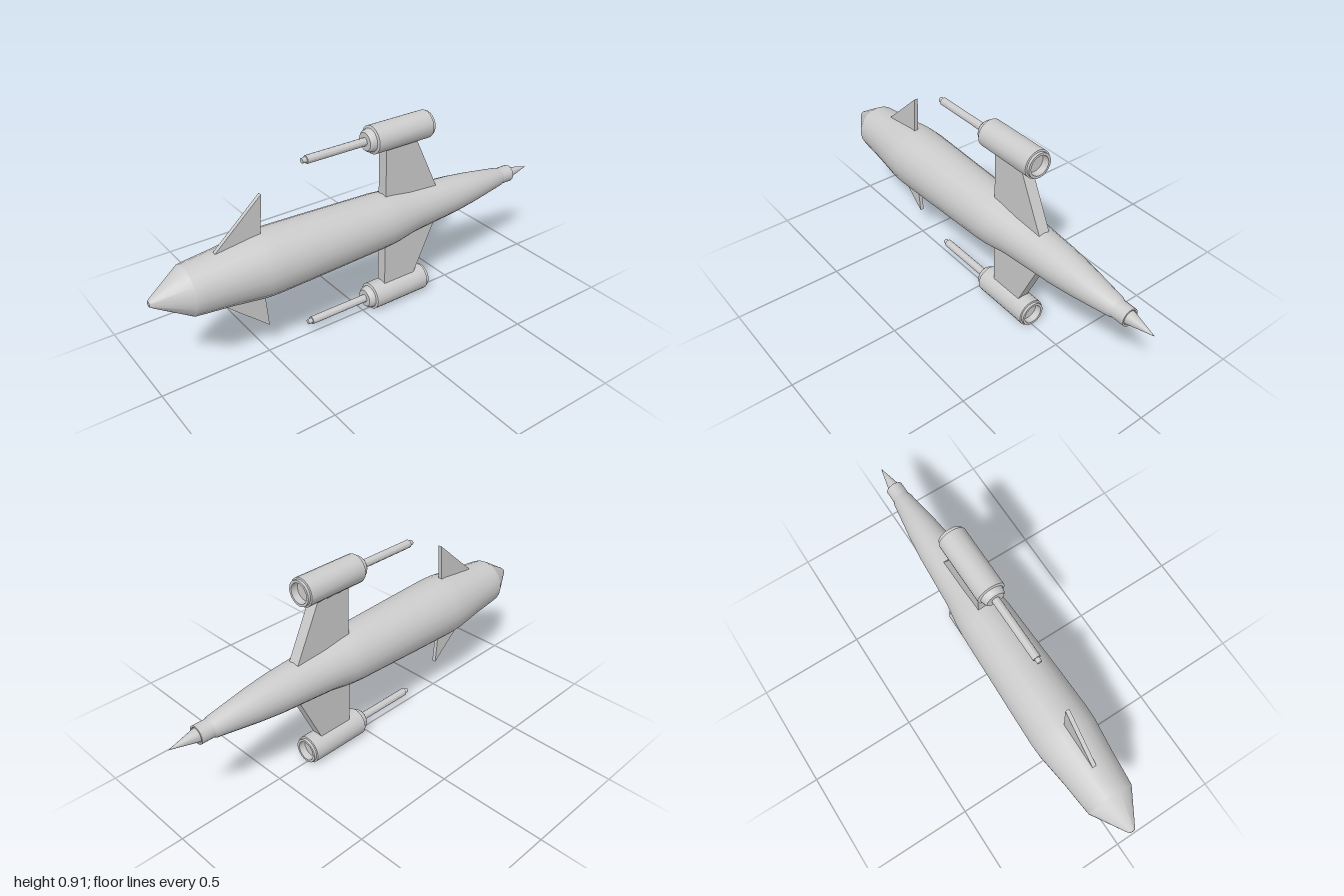
import * as THREE from 'three';
import { toCreasedNormals } from 'three/addons/utils/BufferGeometryUtils.js';

const AXIS_Y = 0.453;
const material = new THREE.MeshStandardMaterial({ color: 0xcccccc });

function addMesh(parent, name, geometry, y = 0) {
  const mesh = new THREE.Mesh(geometry, material);
  mesh.name = name;
  mesh.position.y = y;
  parent.add(mesh);
  return mesh;
}

// Solid of revolution about the x axis, from [x, radius] pairs
function turned(profile, sides = 20) {
  const points = profile.map(([x, r]) => new THREE.Vector2(r, x));
  const geometry = new THREE.LatheGeometry(points, sides).rotateZ(-Math.PI / 2);
  return toCreasedNormals(geometry, 0.42);
}

// Flat plate in the xy plane, centred on z = 0
function plate(corners, thickness) {
  const shape = new THREE.Shape(corners.map(([x, y]) => new THREE.Vector2(x, y)));
  return new THREE.ExtrudeGeometry(shape, { depth: thickness, bevelEnabled: false })
    .translate(0, 0, -thickness / 2);
}

export function createModel() {
  const model = new THREE.Group();
  model.name = 'spacecraft';

  // Fuselage with a recessed collar at the end
  addMesh(model, 'fuselage', turned([
    [-1, 0], [-0.998, 0.012], [-0.985, 0.022], [-0.845, 0.107], [-0.8, 0.112], [-0.69, 0.122],
    [-0.54, 0.141], [-0.48, 0.143], [-0.3, 0.138], [0.08, 0.126], [0.14, 0.121],
    [0.24, 0.105], [0.38, 0.095], [0.5, 0.087], [0.62, 0.073], [0.8, 0.046],
    [0.815, 0.04], [0.876, 0.04], [0.876, 0.033], [0.84, 0.031], [0.84, 0],
  ]), AXIS_Y);

  // Slender spike standing in the collar
  addMesh(model, 'spike', turned([[0.835, 0], [0.835, 0.031], [0.875, 0.029], [1, 0]]), AXIS_Y);

  // Pod with stepped front, cupped rear and a long barrel
  const podBody = turned([
    [0.01, 0], [0.01, 0.04], [0.018, 0.047], [0.038, 0.052], [0.042, 0.063],
    [0.332, 0.063], [0.334, 0.056], [0.346, 0.056], [0.346, 0.045],
    [0.315, 0.043], [0.315, 0],
  ]);
  const barrel = turned([
    [-0.3, 0], [-0.3, 0.011], [-0.28, 0.012], [-0.28, 0.018], [0.02, 0.018], [0.02, 0],
  ], 12);

  for (const [label, side, podY] of [['upper', 1, 0.85], ['lower', -1, 0.065]]) {
    const pod = new THREE.Group();
    pod.name = label + 'Pod';
    pod.position.y = podY;
    addMesh(pod, 'podBody', podBody);
    addMesh(pod, 'barrel', barrel);
    model.add(pod);

    // Tapered wing from the fuselage to the pod
    const wing = [[0.105, 0.02], [0.42, 0.02], [0.388, 0.095], [0.27, 0.345], [0.105, 0.345]];
    // Small swept fin
    const fin = [[-0.79, 0.05], [-0.515, 0.05], [-0.495, 0.312]];
    const mirror = (corners) => corners.map(([x, y]) => [x, y * side]);
    addMesh(model, label + 'Wing', plate(mirror(wing), 0.052), AXIS_Y);
    addMesh(model, label + 'Fin', plate(mirror(fin), 0.018), AXIS_Y);
  }

  return model;
}
